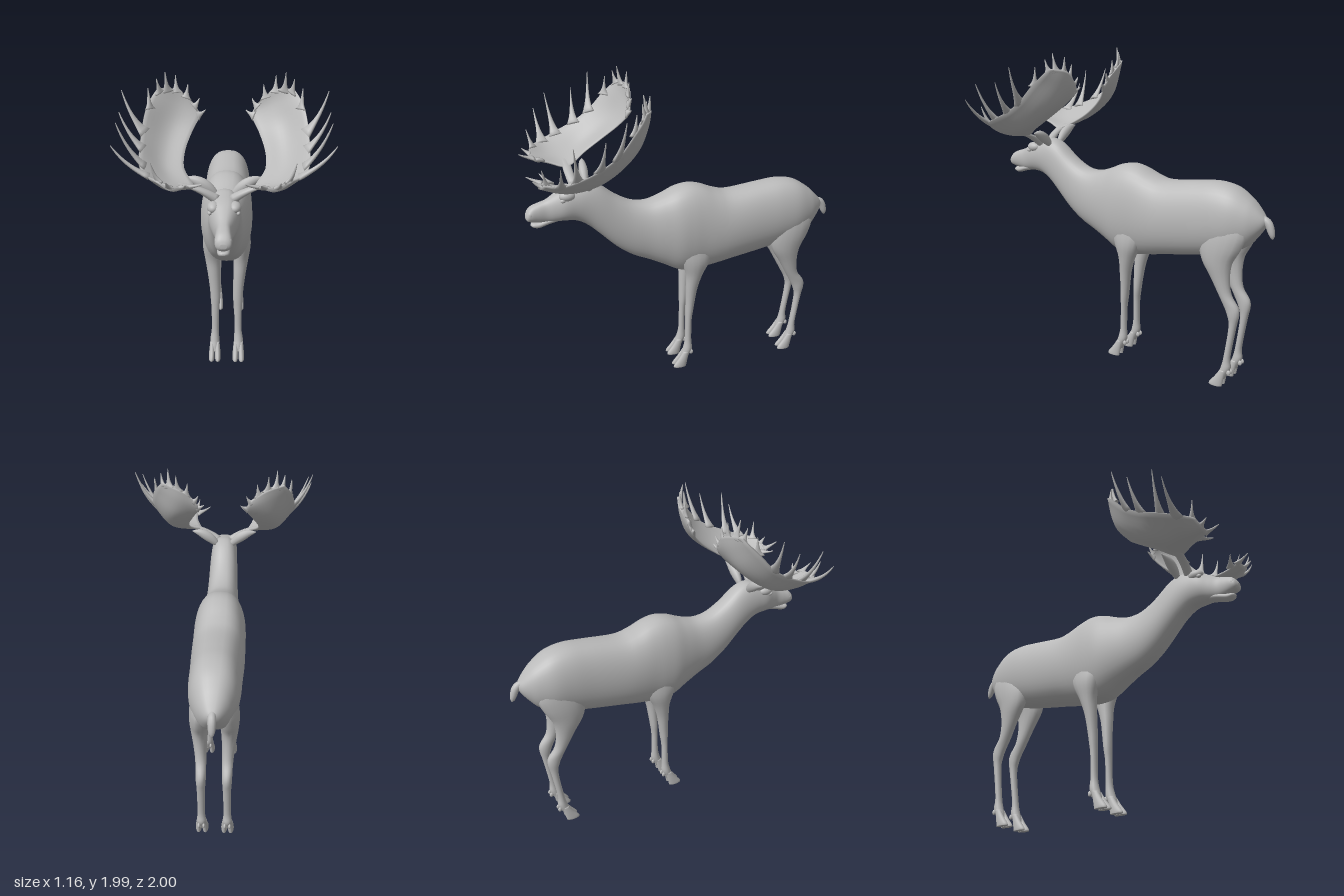
import * as THREE from 'three';

const V = (x, y, z) => new THREE.Vector3(x, y, z);
const hide = new THREE.MeshStandardMaterial({ color: 0xbababa });
hide.name = 'grey hide';

// Smooth interpolation of a table of rows, n steps between each pair
function smoothRows(rows, n) {
  const out = [];
  const last = rows.length - 1;
  for (let k = 0; k <= last * n; k++) {
    const i = Math.min(Math.floor(k / n), last - 1), t = k / n - i;
    const [a, b, c, d] = [i - 1, i, i + 1, i + 2].map(j => rows[Math.min(Math.max(j, 0), last)]);
    out.push(b.map((p, j) => p + 0.5 * t * (c[j] - a[j] + t * (2 * a[j] - 5 * p + 4 * c[j] - d[j]
      + t * (3 * (p - c[j]) + d[j] - a[j])))));
  }
  return out;
}

// Closed skin over rings of points, always wound outwards
function loft(rings) {
  const m = rings[0].length, pts = rings.flat(), idx = [];
  for (let i = 0; i < rings.length - 1; i++) {
    for (let j = 0; j < m; j++) {
      const a = i * m + j, b = i * m + (j + 1) % m;
      idx.push(a, b, a + m, b, b + m, a + m);
    }
  }
  for (const [ring, start, flip] of [[rings[0], 0, true], [rings.at(-1), (rings.length - 1) * m, false]]) {
    const centre = ring.reduce((s, p) => s.add(p), V(0, 0, 0)).divideScalar(m);
    const c = pts.push(centre) - 1;
    for (let j = 0; j < m; j++) {
      const a = start + j, b = start + (j + 1) % m;
      idx.push(...(flip ? [b, a, c] : [a, b, c]));
    }
  }
  let volume = 0;
  for (let i = 0; i < idx.length; i += 3) {
    volume += pts[idx[i]].dot(V(0, 0, 0).crossVectors(pts[idx[i + 1]], pts[idx[i + 2]]));
  }
  if (volume < 0) idx.reverse();
  const g = new THREE.BufferGeometry().setFromPoints(pts);
  g.setIndex(idx);
  g.computeVertexNormals();
  return g;
}

const ellipse = (n, fn) => Array.from({ length: n }, (_, j) => {
  const a = j / n * Math.PI * 2;
  return fn(Math.cos(a), Math.sin(a));
});

// Limb along a curve: radius along the broad direction and across it
const limb = (curve, broad, radius, across = radius, steps = 10, sides = 12) =>
  loft(Array.from({ length: steps + 1 }, (_, i) => {
    const t = i / steps, p = curve.getPoint(t), dir = curve.getTangent(t);
    const u = broad.clone().addScaledVector(dir, -broad.dot(dir)).normalize();
    const v = dir.cross(u);
    return ellipse(sides, (c, s) => p.clone().addScaledVector(u, c * radius(t)).addScaledVector(v, s * across(t)));
  }));

// Limb from horizontal slices: y, x, z, half width, half depth
const slices = (rows, side, n = 4) => loft(smoothRows(rows, n).map(([y, x, z, rx, rz]) =>
  ellipse(16, (c, s) => V(side * (x + c * rx), y, z + s * rz))));

// Trunk from upright slices: z, top, bottom, half width
const trunk = (rows, n = 5) => loft(smoothRows(rows, n).map(([z, top, low, w]) =>
  ellipse(36, (c, s) => V(w * Math.sign(c) * Math.abs(c) ** 0.78, (top + low) / 2 + s * (top - low) / 2, z))));

const BODY = [
  [-0.95, 1.075, 1.05, 0.012], [-0.93, 1.1, 1.01, 0.045], [-0.89, 1.145, 0.955, 0.08], [-0.84, 1.19, 0.9, 0.11],
  [-0.75, 1.245, 0.85, 0.142], [-0.64, 1.265, 0.82, 0.153], [-0.5, 1.253, 0.79, 0.157], [-0.3, 1.23, 0.755, 0.165],
  [-0.2, 1.248, 0.735, 0.166], [-0.1, 1.288, 0.718, 0.165], [-0.02, 1.302, 0.71, 0.166], [0.06, 1.288, 0.724, 0.162],
  [0.15, 1.25, 0.772, 0.142], [0.25, 1.222, 0.822, 0.12], [0.35, 1.235, 0.868, 0.108], [0.45, 1.29, 0.94, 0.1],
  [0.55, 1.37, 1.04, 0.094], [0.62, 1.397, 1.108, 0.09], [0.69, 1.388, 1.152, 0.087], [0.76, 1.37, 1.162, 0.082],
  [0.82, 1.333, 1.16, 0.062], [0.87, 1.303, 1.16, 0.046], [0.92, 1.286, 1.165, 0.045], [0.96, 1.27, 1.172, 0.046],
  [0.985, 1.245, 1.18, 0.04], [0.997, 1.22, 1.195, 0.018],
];
const JAW = [[0.78, 1.22, 1.165, 0.04], [0.86, 1.19, 1.148, 0.036], [0.92, 1.17, 1.13, 0.034],
  [0.955, 1.165, 1.135, 0.028], [0.97, 1.157, 1.147, 0.01]];

const FRONT_LEG = [
  [1.05, 0.07, -0.03, 0.05, 0.1], [0.9, 0.088, -0.045, 0.06, 0.125], [0.8, 0.1, -0.046, 0.058, 0.095],
  [0.7, 0.093, -0.036, 0.05, 0.056], [0.6, 0.085, -0.022, 0.041, 0.039], [0.5, 0.078, -0.014, 0.035, 0.031],
  [0.42, 0.075, -0.008, 0.032, 0.026], [0.34, 0.076, -0.003, 0.026, 0.021], [0.2, 0.077, 0, 0.024, 0.022],
  [0.13, 0.08, 0.005, 0.03, 0.031], [0.09, 0.08, 0.02, 0.03, 0.03], [0.05, 0.08, 0.035, 0.026, 0.026],
];
const HIND_LEG = [
  [1.15, 0.05, -0.72, 0.05, 0.1], [1.0, 0.072, -0.715, 0.064, 0.145], [0.9, 0.083, -0.695, 0.064, 0.138],
  [0.8, 0.088, -0.68, 0.054, 0.1], [0.7, 0.085, -0.702, 0.042, 0.063], [0.6, 0.08, -0.735, 0.034, 0.043],
  [0.53, 0.078, -0.777, 0.031, 0.048], [0.48, 0.078, -0.793, 0.03, 0.04], [0.4, 0.078, -0.793, 0.025, 0.024],
  [0.2, 0.08, -0.765, 0.023, 0.021], [0.13, 0.08, -0.76, 0.029, 0.031], [0.09, 0.08, -0.745, 0.03, 0.03],
  [0.05, 0.08, -0.73, 0.026, 0.026],
];

// Palm stations, front to rear: inner, middle and outer point
const PALM = [
  [0.2, 1.5, 0.92, 0.26, 1.495, 0.925, 0.34, 1.53, 0.905],
  [0.195, 1.46, 0.81, 0.3, 1.468, 0.81, 0.42, 1.54, 0.82],
  [0.165, 1.437, 0.7, 0.31, 1.468, 0.7, 0.455, 1.58, 0.71],
  [0.225, 1.5, 0.58, 0.34, 1.515, 0.58, 0.46, 1.63, 0.6],
  [0.225, 1.575, 0.47, 0.34, 1.595, 0.46, 0.46, 1.7, 0.5],
  [0.19, 1.66, 0.37, 0.32, 1.69, 0.365, 0.445, 1.79, 0.42],
  [0.15, 1.74, 0.31, 0.28, 1.8, 0.305, 0.415, 1.855, 0.36],
  [0.18, 1.805, 0.295, 0.27, 1.88, 0.288, 0.38, 1.9, 0.325],
];

// Tines along the palm edge: base, tip, thickness
const TINES = [
  [[0.2, 1.485, 0.86], [0.11, 1.515, 0.905], 0.017], [[0.21, 1.495, 0.9], [0.19, 1.535, 0.988], 0.018],
  [[0.28, 1.5, 0.91], [0.29, 1.54, 0.96], 0.018], [[0.33, 1.52, 0.885], [0.37, 1.63, 0.915], 0.018],
  [[0.39, 1.53, 0.82], [0.58, 1.7, 0.84], 0.022], [[0.42, 1.56, 0.73], [0.56, 1.8, 0.765], 0.021],
  [[0.44, 1.62, 0.61], [0.567, 1.82, 0.595], 0.022], [[0.44, 1.685, 0.51], [0.565, 1.915, 0.48], 0.023],
  [[0.42, 1.795, 0.41], [0.43, 1.91, 0.395], 0.022], [[0.37, 1.875, 0.335], [0.385, 1.955, 0.355], 0.02],
  [[0.33, 1.875, 0.313], [0.338, 1.99, 0.335], 0.021], [[0.28, 1.865, 0.296], [0.285, 1.965, 0.285], 0.021],
  [[0.23, 1.835, 0.296], [0.215, 1.915, 0.288], 0.02], [[0.185, 1.785, 0.303], [0.15, 1.835, 0.29], 0.019],
  [[0.165, 1.74, 0.318], [0.115, 1.77, 0.3], 0.018],
];

// Thin dished blade with tapering edges
function palm(side) {
  const rows = smoothRows(PALM, 4);
  const at = (r, k) => V(side * r[k], r[k + 1], r[k + 2]);
  return loft(rows.map((r, i) => {
    const along = at(rows[Math.min(i + 1, rows.length - 1)], 3).sub(at(rows[Math.max(i - 1, 0)], 3));
    const normal = along.cross(at(r, 6).sub(at(r, 0))).normalize();
    const arc = new THREE.CatmullRomCurve3([at(r, 0), at(r, 3), at(r, 6)]);
    const n = 12, half = sign => Array.from({ length: n + 1 }, (_, k) =>
      arc.getPoint(k / n).addScaledVector(normal, sign * (0.005 + 0.008 * Math.sin(Math.PI * k / n))));
    return [...half(1), ...half(-1).reverse()];
  }));
}

export function createModel() {
  const model = new THREE.Group();
  model.name = 'moose';
  const add = (name, geometry, parent = model) => {
    const mesh = new THREE.Mesh(geometry, hide);
    mesh.name = name;
    parent.add(mesh);
    return mesh;
  };
  const blob = (name, parent, pos, size) => {
    const mesh = add(name, new THREE.SphereGeometry(1, 20, 14), parent);
    mesh.position.set(...pos);
    mesh.scale.set(...size);
  };

  add('body', trunk(BODY));
  add('lowerJaw', trunk(JAW));
  add('tail', limb(new THREE.CatmullRomCurve3([V(0, 1.085, -0.91), V(0, 1.06, -0.955), V(0, 1.005, -0.979), V(0, 0.966, -0.99)]),
    V(1, 0, 0), t => 0.004 + 0.02 * Math.sin(Math.PI * (0.2 + 0.8 * t)) ** 0.6));

  for (const side of [1, -1]) {
    const p = (x, y, z) => V(side * x, y, z);
    const group = part => {
      const g = new THREE.Group();
      g.name = (side > 0 ? 'left' : 'right') + part;
      model.add(g);
      return g;
    };

    // Legs with cloven hooves and dewclaws
    for (const [part, rows, z] of [['FrontLeg', FRONT_LEG, 0], ['HindLeg', HIND_LEG, -0.766]]) {
      const leg = group(part);
      add('shank', slices(rows, side), leg);
      for (const d of [-1, 1]) {
        const x = 0.08 + d * 0.019;
        add('hoof', slices([[0.11, x, z + 0.018, 0.012, 0.02], [0.06, x, z + 0.04, 0.018, 0.031],
          [0.015, x + d * 0.002, z + 0.062, 0.019, 0.044], [0, x + d * 0.002, z + 0.065, 0.018, 0.044]], side), leg);
        blob('dewclaw', leg, [side * (0.08 + d * 0.015), 0.1, z - 0.018], [0.009, 0.017, 0.014]);
      }
    }

    // Head details
    const face = group('Face');
    add('ear', limb(new THREE.CatmullRomCurve3([p(0.045, 1.36, 0.615), p(0.1, 1.41, 0.615), p(0.16, 1.445, 0.612), p(0.217, 1.46, 0.605)]),
      V(0, 1, 0), t => 0.002 + 0.032 * Math.sin(Math.PI * (0.15 + 0.85 * t)),
      t => 0.002 + 0.026 * Math.sin(Math.PI * (0.15 + 0.85 * t))), face);
    blob('eye', face, [side * 0.077, 1.313, 0.775], [0.011, 0.012, 0.016]);
    blob('brow', face, [side * 0.058, 1.335, 0.745], [0.035, 0.032, 0.05]);
    blob('nostril', face, [side * 0.032, 1.225, 0.965], [0.014, 0.022, 0.018]);

    // Antler: stalk, palm and tines that broaden into the palm edge
    const antler = group('Antler');
    add('stalk', limb(new THREE.CatmullRomCurve3([p(0.04, 1.36, 0.69), p(0.1, 1.4, 0.7), p(0.16, 1.43, 0.705), p(0.25, 1.455, 0.705)]),
      V(0, 0, 1), t => 0.028, t => 0.028 - 0.022 * t), antler);
    add('palm', palm(side), antler);
    TINES.forEach(([a, b, r], i) => {
      const bend = p(a[0] + (b[0] - a[0]) * 0.65, a[1] + (b[1] - a[1]) * 0.35, (a[2] + b[2]) / 2);
      const edge = p(...TINES[Math.min(i + 1, TINES.length - 1)][0]).sub(p(...TINES[Math.max(i - 1, 0)][0]));
      add('tine', limb(new THREE.QuadraticBezierCurve3(p(...a), bend, p(...b)), edge,
        t => 0.002 + r * (0.7 * (1 - t) + 1.1 * (1 - t) ** 4), t => 0.002 + 0.6 * r * (1 - t) ** 0.8), antler);
    });
  }
  return model;
}
